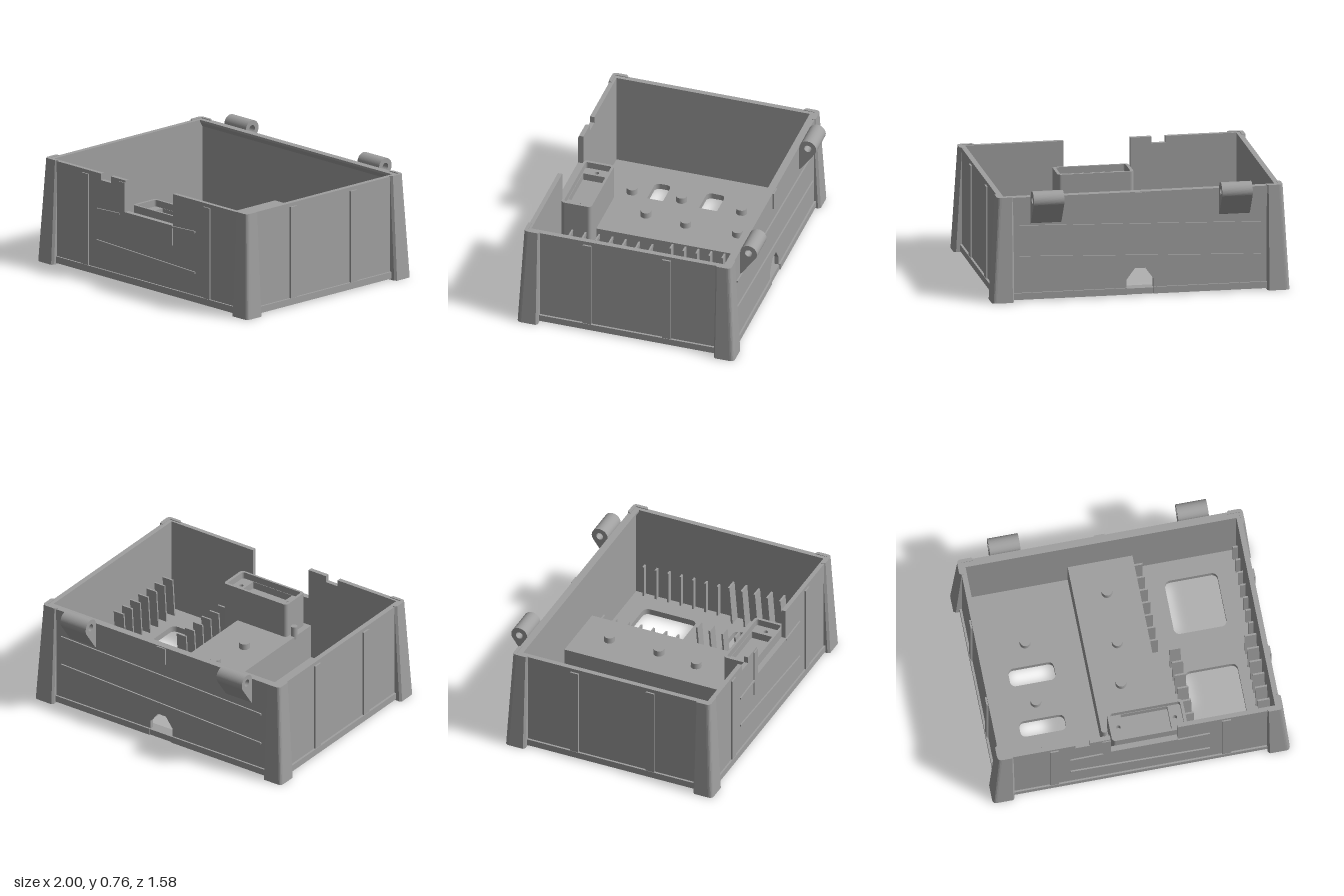
import * as THREE from 'three';

export function createModel() {
  const root = new THREE.Group();
  root.name = 'enclosure';
  const grey = new THREE.MeshStandardMaterial({ color: 0xa0a0a0 });
  const CZ = 0.035, TOP = 0.705;

  const add = (name, geo, x = 0, y = 0, z = 0) => {
    const m = new THREE.Mesh(geo, grey);
    m.name = name;
    m.position.set(x, y, z);
    root.add(m);
    return m;
  };
  // box given by its limits
  const box = (name, x0, x1, y0, y1, z0, z1) =>
    add(name, new THREE.BoxGeometry(x1 - x0, y1 - y0, z1 - z0), (x0 + x1) / 2, (y0 + y1) / 2, (z0 + z1) / 2);
  const poly = pts => new THREE.Shape(pts.map(p => new THREE.Vector2(...p)));
  const extrude = (shape, depth) =>
    new THREE.ExtrudeGeometry(shape, { depth, bevelEnabled: false, curveSegments: 8 });
  const roundRect = (x0, x1, y0, y1, r) => {
    const s = new THREE.Shape();
    s.absarc(x1 - r, y1 - r, r, 0, Math.PI / 2);
    s.absarc(x0 + r, y1 - r, r, Math.PI / 2, Math.PI);
    s.absarc(x0 + r, y0 + r, r, Math.PI, Math.PI * 1.5);
    s.absarc(x1 - r, y0 + r, r, Math.PI * 1.5, Math.PI * 2);
    s.closePath();
    return s;
  };
  // horizontal plate: outline and holes as [x0, x1, z0, z1, radius]
  const plate = (name, outline, holes, y0, y1) => {
    const flip = ([x0, x1, z0, z1, r]) => roundRect(x0, x1, -z1, -z0, r);
    const s = flip(outline);
    s.holes = holes.map(flip);
    add(name, extrude(s, y1 - y0).rotateX(-Math.PI / 2), 0, y0, 0);
  };

  // floor with vents, slots and the open underside of the channel
  plate('floor', [-0.955, 0.955, -0.68, 0.75, 0.03], [
    [-0.73, -0.425, -0.1, 0.025, 0.035],
    [-0.73, -0.425, 0.275, 0.385, 0.035],
    [0.4, 0.755, -0.51, -0.13, 0.04],
    [0.41, 0.765, 0.14, 0.53, 0.04],
    [-0.2, 0.195, -0.6, 0.69, 0.005],
  ], 0.01, 0.05);

  // front wall with latch opening and small cable notch
  add('frontWall', extrude(poly([
    [-0.945, 0.02], [0.945, 0.02], [0.945, TOP], [0.25, TOP], [0.25, 0.49], [-0.2, 0.49], [-0.2, TOP],
    [-0.34, TOP], [-0.34, 0.66], [-0.435, 0.66], [-0.435, TOP], [-0.945, TOP],
  ]), 0.03), 0, 0, 0.715);

  // back wall with pointed cable opening, and its overhanging lip
  add('backWall', extrude(poly([
    [-0.945, 0.01], [-0.09, 0.01], [-0.09, 0.11], [-0.035, 0.185], [0.035, 0.185], [0.09, 0.11],
    [0.09, 0.01], [0.945, 0.01], [0.945, TOP], [-0.945, TOP],
  ]), 0.03), 0, 0, -0.675);
  add('backLip', extrude(poly([[-0.65, 0.65], [-0.625, 0.69], [-0.625, TOP], [-0.65, TOP]]), 1.83)
    .rotateY(-Math.PI / 2), 0.915);

  // side walls, upright strips and skirts
  for (const s of [-1, 1]) {
    const side = (name, a, b, y0, y1, z0, z1) =>
      box(name, Math.min(s * a, s * b), Math.max(s * a, s * b), y0, y1, z0, z1);
    side('sideWall', 0.91, 0.945, 0.02, TOP, -0.66, 0.73);
    side('sideStrip', 0.94, 0.957, 0.055, 0.68, 0.285, 0.345);
    side('sideStrip', 0.94, 0.957, 0.055, 0.68, -0.265, -0.205);
    side('sideSkirt', 0.94, 0.96, 0.01, 0.055, -0.6, 0.67);
    side('frontStrip', 0.548, 0.607, 0.055, 0.68, 0.74, 0.754);
  }
  box('frontSkirt', -0.88, 0.88, 0.01, 0.055, 0.74, 0.757);
  for (const [a, b] of [[-0.88, -0.09], [0.09, 0.88]]) box('backSkirt', a, b, 0.01, 0.055, -0.687, -0.67);

  // tapered corner posts, L-shaped around the walls
  for (const sx of [-1, 1]) for (const sz of [-1, 1]) {
    const s = new THREE.Shape();
    const p = (x, z) => [sx * x, -sz * z];
    s.moveTo(...p(0.85, 0.695));
    s.lineTo(...p(0.85, 0.737));
    s.lineTo(...p(0.862, 0.753));
    s.lineTo(...p(0.97, 0.753));
    s.quadraticCurveTo(...p(1, 0.753), ...p(1, 0.723));
    s.lineTo(...p(1, 0.622));
    s.lineTo(...p(0.985, 0.61));
    s.lineTo(...p(0.935, 0.61));
    s.lineTo(...p(0.935, 0.695));
    s.closePath();
    const g = new THREE.ExtrudeGeometry(s, { depth: 0.71, steps: 1, bevelEnabled: false, curveSegments: 5 })
      .rotateX(-Math.PI / 2);
    const v = g.attributes.position;
    for (let i = 0; i < v.count; i++) {
      const t = v.getY(i) / 0.71, x = v.getX(i), z = v.getZ(i);
      if (Math.abs(x) > 0.945) v.setX(i, x - sx * 0.04 * t);
      if (Math.abs(z) > 0.7) v.setZ(i, z - sz * 0.035 * t);
    }
    g.computeVertexNormals();
    add('cornerPost', g, 0, 0, CZ);
  }

  // thin slanted ridges on front and back
  const ridge = (x0, y0, x1, y1, z) => {
    const m = add('ridge', new THREE.BoxGeometry(Math.hypot(x1 - x0, y1 - y0), 0.013, 0.026),
      (x0 + x1) / 2, (y0 + y1) / 2, z);
    m.rotation.z = Math.atan2(y1 - y0, x1 - x0);
  };
  ridge(-0.47, 0.457, -0.25, 0.466, 0.742);
  ridge(0.25, 0.48, 0.465, 0.488, 0.742);
  ridge(-0.47, 0.242, 0.465, 0.208, 0.742);
  ridge(-0.81, 0.46, 0.81, 0.51, -0.672);
  ridge(-0.81, 0.24, 0.81, 0.3, -0.672);
  box('backTab', -0.035, 0.035, 0.58, 0.7, -0.684, -0.67);

  // latch panel around the front opening
  add('latchPanel', extrude(poly([
    [-0.255, 0.352], [0.25, 0.352], [0.25, 0.49], [-0.2, 0.49], [-0.2, 0.69], [-0.255, 0.69],
  ]), 0.012), 0, 0, 0.74);

  // hollow raised channel in the middle
  box('channelTop', -0.22, 0.215, 0.265, 0.29, -0.65, 0.72);
  box('channelSide', -0.22, -0.2, 0.02, 0.27, -0.65, 0.72);
  box('channelSide', 0.195, 0.215, 0.02, 0.27, -0.65, 0.72);

  // mounting pegs
  for (const [x, z, y] of [
    [-0.58, -0.26, 0.04], [-0.59, 0.16, 0.04], [-0.58, 0.5, 0.04],
    [0, -0.42, 0.28], [0, -0.06, 0.28], [-0.03, 0.225, 0.28],
  ]) add('peg', new THREE.CylinderGeometry(0.035, 0.037, 0.05, 24), x, y + 0.025, z);
  add('smallPeg', new THREE.CylinderGeometry(0.022, 0.022, 0.09, 16), -0.205, 0.315, 0.545);

  // latch housing: body, deep middle pocket, two ledges with screw holes, rim
  const outer = [-0.18, 0.33, 0.49, 0.7, 0.025];
  plate('housingBody', outer, [], 0.04, 0.44);
  plate('housingLedge', outer, [
    [-0.09, 0.225, 0.51, 0.682, 0.005],
    [-0.135, -0.105, 0.58, 0.61, 0.0149],
    [0.245, 0.275, 0.58, 0.61, 0.0149],
  ], 0.44, 0.49);
  plate('housingRim', outer, [[-0.16, 0.31, 0.507, 0.685, 0.015]], 0.49, 0.535);

  // card ribs: short upright ones behind, leaning ones in front
  for (let i = 0; i < 7; i++) {
    const zb = -0.58 + i * 0.09, zf = 0.075 + i * 0.0925;
    box('rib', 0.21, 0.27, 0.04, 0.28, zb - 0.006, zb + 0.006);
    box('rib', 0.877, 0.915, 0.04, 0.28, zb - 0.006, zb + 0.006);
    for (const [a, b] of [[0.325, 0.4], [0.83, 0.915]]) {
      const g = new THREE.BoxGeometry(b - a, 0.29, 0.012);
      const v = g.attributes.position;
      for (let k = 0; k < v.count; k++) v.setZ(k, v.getZ(k) - v.getY(k) * 0.08);
      g.computeVertexNormals();
      add('leaningRib', g, (a + b) / 2, 0.185, zf);
    }
  }

  // hinge knuckles on the back wall
  for (const x of [-0.53, 0.735]) {
    const s = new THREE.Shape();
    s.moveTo(-0.66, 0.52);
    s.lineTo(-0.66, 0.7);
    s.absarc(-0.735, 0.7, 0.058, 0, Math.PI * 1.19, false);
    s.lineTo(-0.685, 0.53);
    s.closePath();
    const hole = new THREE.Path();
    hole.absarc(-0.735, 0.7, 0.025, 0, Math.PI * 2, true);
    s.holes.push(hole);
    add('hinge', new THREE.ExtrudeGeometry(s, { depth: 0.205, bevelEnabled: false, curveSegments: 20 })
      .rotateY(-Math.PI / 2), x);
  }
  return root;
}
